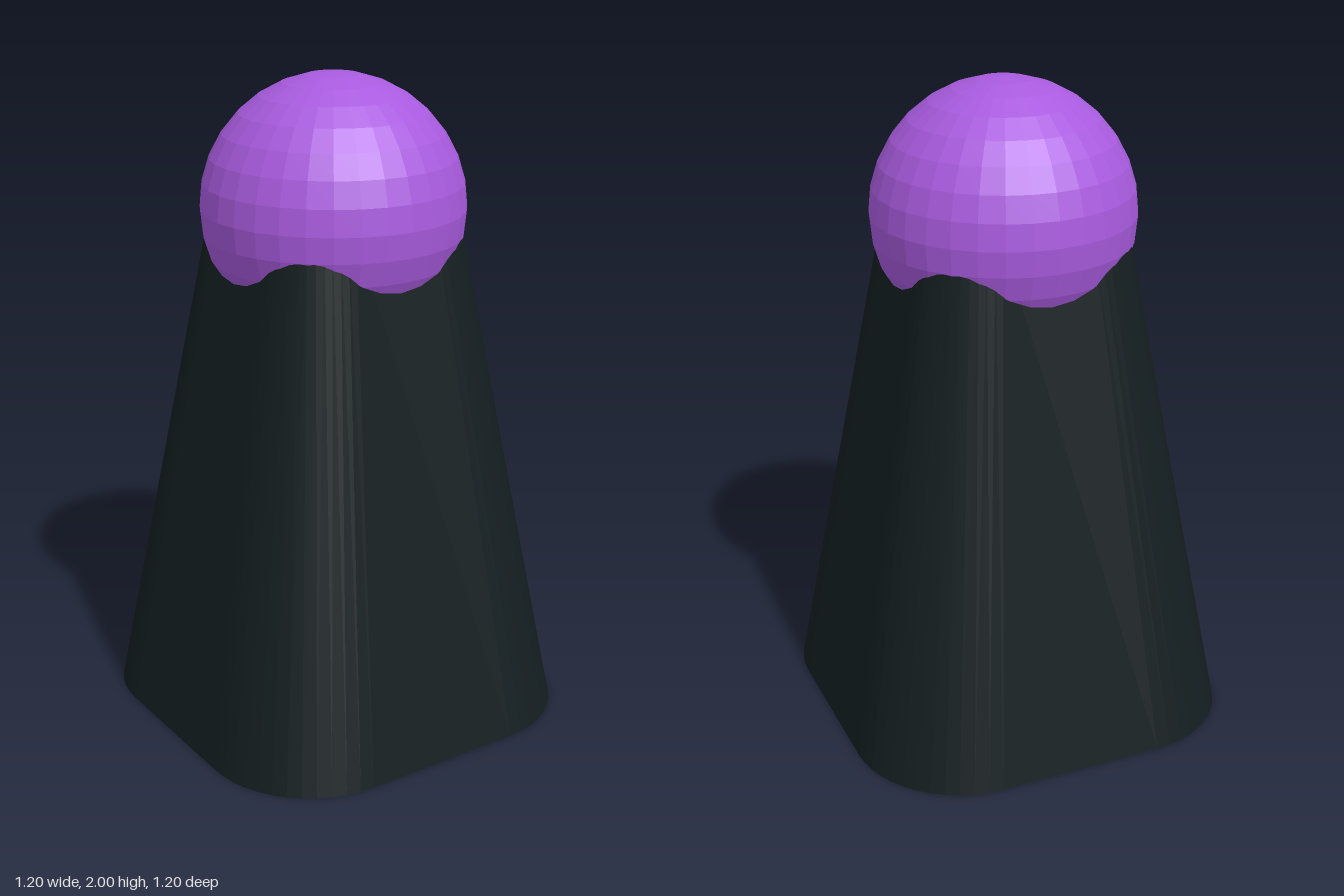
import * as THREE from 'three';

const HALF = 0.6;        // half width of the base
const RADIUS = 0.34;     // corner radius of the base
const BODY_HEIGHT = 1.6; // top is hidden inside the ball
const TAPER = 3.4;       // height where the sloping sides would meet

function roundedSquare(half, r) {
  const s = new THREE.Shape();
  const c = half - r;
  [[c, c], [-c, c], [-c, -c], [c, -c]].forEach(([x, y], i) => {
    s.absarc(x, y, r, i * Math.PI / 2, (i + 1) * Math.PI / 2, false);
  });
  s.closePath();
  return s;
}

export function createModel() {
  const model = new THREE.Group();

  // Tapered rounded-square body
  const bodyGeo = new THREE.ExtrudeGeometry(roundedSquare(HALF, RADIUS), {
    depth: BODY_HEIGHT, bevelEnabled: false, curveSegments: 6,
  });
  bodyGeo.rotateX(-Math.PI / 2);
  const p = bodyGeo.attributes.position;
  for (let i = 0; i < p.count; i++) {
    const k = 1 - p.getY(i) / TAPER;
    p.setX(i, p.getX(i) * k);
    p.setZ(i, p.getZ(i) * k);
  }
  bodyGeo.computeVertexNormals();
  const body = new THREE.Mesh(bodyGeo,
    new THREE.MeshStandardMaterial({ color: 0x141e20, flatShading: true }));
  body.name = 'body';

  // Faceted ball seated in the top of the body
  const ball = new THREE.Mesh(new THREE.SphereGeometry(0.4, 32, 16),
    new THREE.MeshStandardMaterial({ color: 0xa95bdf, flatShading: true }));
  ball.name = 'ball';
  ball.position.y = 1.6;

  model.add(body, ball);
  return model;
}
